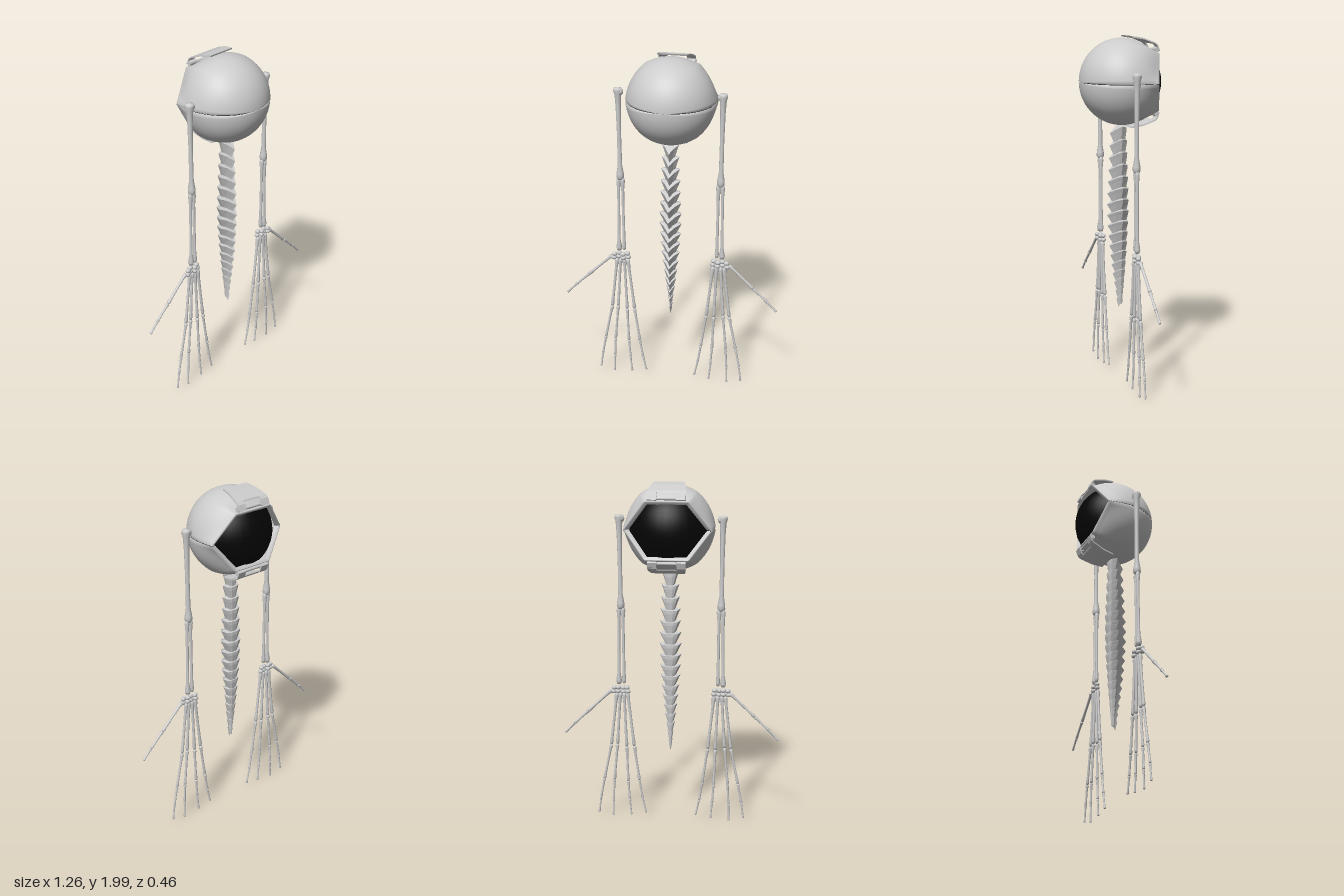
import * as THREE from 'three';

const CY = 1.745; // centre of the round head
const grey = new THREE.MeshStandardMaterial({ color: 0xcccccc, side: THREE.DoubleSide });
const flat = new THREE.MeshStandardMaterial({ color: 0xcccccc, flatShading: true, side: THREE.DoubleSide });
const black = new THREE.MeshStandardMaterial({ color: 0x050505 });

function add(parent, geometry, material, name) {
  const mesh = new THREE.Mesh(geometry, material);
  mesh.name = name;
  parent.add(mesh);
  return mesh;
}

// Surface from point(u, v) on a regular grid
function gridSurface(nu, nv, point) {
  const pos = [], idx = [];
  for (let i = 0; i <= nu; i++) for (let j = 0; j <= nv; j++) pos.push(...point(i, j));
  for (let i = 0; i < nu; i++) for (let j = 0; j < nv; j++) {
    const a = i * (nv + 1) + j, b = a + nv + 1;
    idx.push(a, a + 1, b, b, a + 1, b + 1);
  }
  const g = new THREE.BufferGeometry();
  g.setAttribute('position', new THREE.Float32BufferAttribute(pos, 3));
  g.setIndex(idx);
  g.computeVertexNormals();
  return g;
}

// Upper half of the shell: round in front, hexagonal opening with a rolled lip behind
function halfShell() {
  const NU = 64, NV = 32;
  return gridSurface(NU, NV + 3, (i, j) => {
    const phi = Math.PI * i / NU, c = Math.cos(phi), s = Math.sin(phi);
    const t = Math.min(0.165 / Math.max(s, 1e-4), 0.25 / (Math.abs(c) + 0.758 * s));
    const ez = -0.12 - 0.3 * t * s;
    const groove = i === 0 || i === NU ? 0.975 : 1;
    let rho, z;
    if (j <= NV) {
      const v = j / NV, a = v * Math.atan2(t, ez);
      const r = groove * (0.232 + (Math.hypot(t, ez) - 0.232) * v ** 5 + 0.01 * Math.sin(Math.PI * v * v));
      rho = r * Math.sin(a);
      z = r * Math.cos(a);
    } else {
      const k = j - NV;
      rho = t * [0, 0.98, 0.94, 0.86][k];
      z = ez + [0, -0.012, -0.016, 0.0][k];
    }
    return [rho * c, Math.max(rho * s, 0.001), z];
  });
}

// Bent plate segment, extruded across x and widening towards the back
function plate(points, x0, x1) {
  const up = points.map(([z, y]) => new THREE.Vector2(z, y));
  const low = points.map(([z, y]) => new THREE.Vector2(z + 0.004, y - 0.009)).reverse();
  const g = new THREE.ExtrudeGeometry(new THREE.Shape([...up, ...low]), { depth: x1 - x0, bevelEnabled: false });
  g.translate(0, 0, x0).rotateY(Math.PI / 2);
  // the extrusion now runs along x and its profile along -z
  const p = g.attributes.position;
  for (let i = 0; i < p.count; i++) p.setX(i, p.getX(i) * (0.77 + 0.23 * Math.min(1, (-p.getZ(i) - 0.03) / 0.14)));
  g.computeVertexNormals();
  return g;
}

// Upper lid half: shell, bent flap and hinge barrels
function lid(name) {
  const g = new THREE.Group();
  g.name = name;
  add(g, halfShell(), grey, 'shell');
  add(g, plate([[0.034, 0.254], [0.10, 0.243], [0.165, 0.218]], -0.105, 0.105), flat, 'flap');
  for (const s of [-1, 1]) {
    const x = s * 0.08;
    add(g, plate([[0.165, 0.218], [0.182, 0.204], [0.191, 0.18]], x - 0.025, x + 0.025), flat, 'flapTab');
    const barrel = add(g, new THREE.CylinderGeometry(0.014, 0.014, 0.05, 14), grey, 'hingeBarrel');
    barrel.rotation.z = Math.PI / 2;
    barrel.position.set(x, 0.178, -0.177);
  }
  const pin = add(g, new THREE.CylinderGeometry(0.009, 0.009, 0.16, 12), grey, 'hingePin');
  pin.rotation.z = Math.PI / 2;
  pin.position.set(0, 0.176, -0.174);
  g.position.y = CY;
  return g;
}

// Tapered vertebra with raised side wings and a drooping ridge in front
function vertebra(h, w, front, back) {
  const ring = [[0, front, -0.45], [0.5, front * 0.45, -0.1], [1, front * 0.1, 0.1], [0.75, -back * 0.75, 0], [0.35, -back, 0],
    [-0.35, -back, 0], [-0.75, -back * 0.75, 0], [-1, front * 0.1, 0.1], [-0.5, front * 0.45, -0.1]];
  const levels = [[0, 0.15], [1, 0], [0.85, -0.3], [0.5, -1.05], [0, -1.05]];
  return gridSurface(ring.length, levels.length - 1, (i, j) => {
    const [x, z, dy] = ring[i % ring.length], [k, y] = levels[j];
    const zk = z < 0 ? Math.min(1, k * 1.6) : k;
    return [x * w * k, h * (y + (k ? dy : 0)), z * zk];
  });
}

function spine() {
  const g = new THREE.Group();
  g.name = 'spine';
  const N = 17;
  const width = new THREE.SplineCurve([[0, 0.048], [0.2, 0.058], [0.4, 0.066], [0.6, 0.055], [0.8, 0.035], [1, 0.012]]
    .map(p => new THREE.Vector2(...p)));
  let y = 1.49;
  for (let i = 0; i < N; i++) {
    const t = i / (N - 1), h = 0.072 - 0.023 * t;
    const w = width.getPoint(t).y;
    const bone = add(g, vertebra(h, w, 0.012 + w * 1.08, 0.006 + w * 0.52), flat, 'vertebra');
    bone.position.y = y;
    y -= h;
  }
  return g;
}

// Long bone between two points: [position along it, radius] pairs
function bone(parent, a, b, profile, name) {
  const A = new THREE.Vector3(...a), B = new THREE.Vector3(...b), d = B.clone().sub(A), L = d.length();
  const pts = profile.map(([t, r]) => new THREE.Vector2(r, t * L));
  const mesh = add(parent, new THREE.LatheGeometry(pts, 12), grey, name);
  mesh.position.copy(A);
  mesh.quaternion.setFromUnitVectors(new THREE.Vector3(0, 1, 0), d.normalize());
  return mesh;
}
const knuckled = (r0, r, r1) => [[0, 0], [0.01, r0 * 0.7], [0.05, r0], [0.16, r * 1.1], [0.5, r], [0.84, r * 1.1], [0.95, r1], [0.99, r1 * 0.7], [1, 0]];

// One arm; s = 1 is the model's left, -1 its right
function arm(s) {
  const g = new THREE.Group();
  g.name = s > 0 ? 'leftArm' : 'rightArm';
  const Z = 0.017, P = (x, y, z = Z) => [s * x, y, z];

  // upper arm and forearm
  bone(g, P(0.287, 1.27), P(0.292, 1.812),
    [[0, 0], [0.005, 0.014], [0.03, 0.022], [0.07, 0.021], [0.16, 0.013], [0.5, 0.012], [0.8, 0.015], [0.92, 0.019], [0.965, 0.026], [0.99, 0.022], [1, 0]], 'upperArmBone');
  const head = add(g, new THREE.SphereGeometry(0.021, 14, 10), grey, 'shoulderHead');
  head.position.set(s * 0.282, 1.788, Z);
  bone(g, P(0.298, 1.285), P(0.302, 0.825), knuckled(0.013, 0.008, 0.017), 'outerForearmBone');
  bone(g, P(0.275, 1.285), P(0.272, 0.83), knuckled(0.014, 0.008, 0.012), 'innerForearmBone');

  // wrist pebbles in two rows
  for (let i = 0; i < 8; i++) {
    const row = i >> 2, k = i % 4;
    const pebble = add(g, new THREE.SphereGeometry(0.0155, 10, 8), grey, 'wristBone');
    pebble.scale.set(1.05, 0.85, 0.9);
    pebble.position.set(s * (row ? 0.25 + k * 0.028 : 0.255 + k * 0.025), (row ? 0.785 : 0.808) - 0.004 * (k % 2), Z + 0.005 * (k % 2 ? 1 : -1));
  }

  // thumb and fingers, each a chain of joints
  const chains = {
    thumb: [[0.345, 0.79], [0.488, 0.655], [0.57, 0.578], [0.626, 0.52]],
    indexFinger: [[0.315, 0.775], [0.352, 0.455], [0.396, 0.24], [0.418, 0.125], [0.43, 0.028]],
    middleFinger: [[0.295, 0.775], [0.315, 0.46], [0.336, 0.235], [0.342, 0.115], [0.345, 0.008]],
    ringFinger: [[0.273, 0.775], [0.261, 0.445], [0.253, 0.23], [0.245, 0.115], [0.236, 0.018]],
    littleFinger: [[0.252, 0.775], [0.216, 0.45], [0.186, 0.24], [0.168, 0.13], [0.147, 0.035]],
  };
  for (const [name, c] of Object.entries(chains)) {
    const finger = new THREE.Group();
    finger.name = name;
    for (let i = 0; i + 1 < c.length; i++) {
      const q = 1 - 0.12 * i;
      bone(finger, P(...c[i]), P(...c[i + 1]), knuckled(0.0125 * q, 0.0075 * q, 0.0105 * q), 'fingerBone');
    }
    g.add(finger);
  }
  return g;
}

export function createModel() {
  const model = new THREE.Group();
  model.name = 'skeletalEye';
  const upper = lid('upperLid'), lower = lid('lowerLid');
  lower.rotation.z = Math.PI;
  const ball = add(model, new THREE.SphereGeometry(0.227, 32, 24), black, 'darkCore');
  ball.position.y = CY;
  model.add(upper, lower, spine(), arm(1), arm(-1));
  return model;
}
